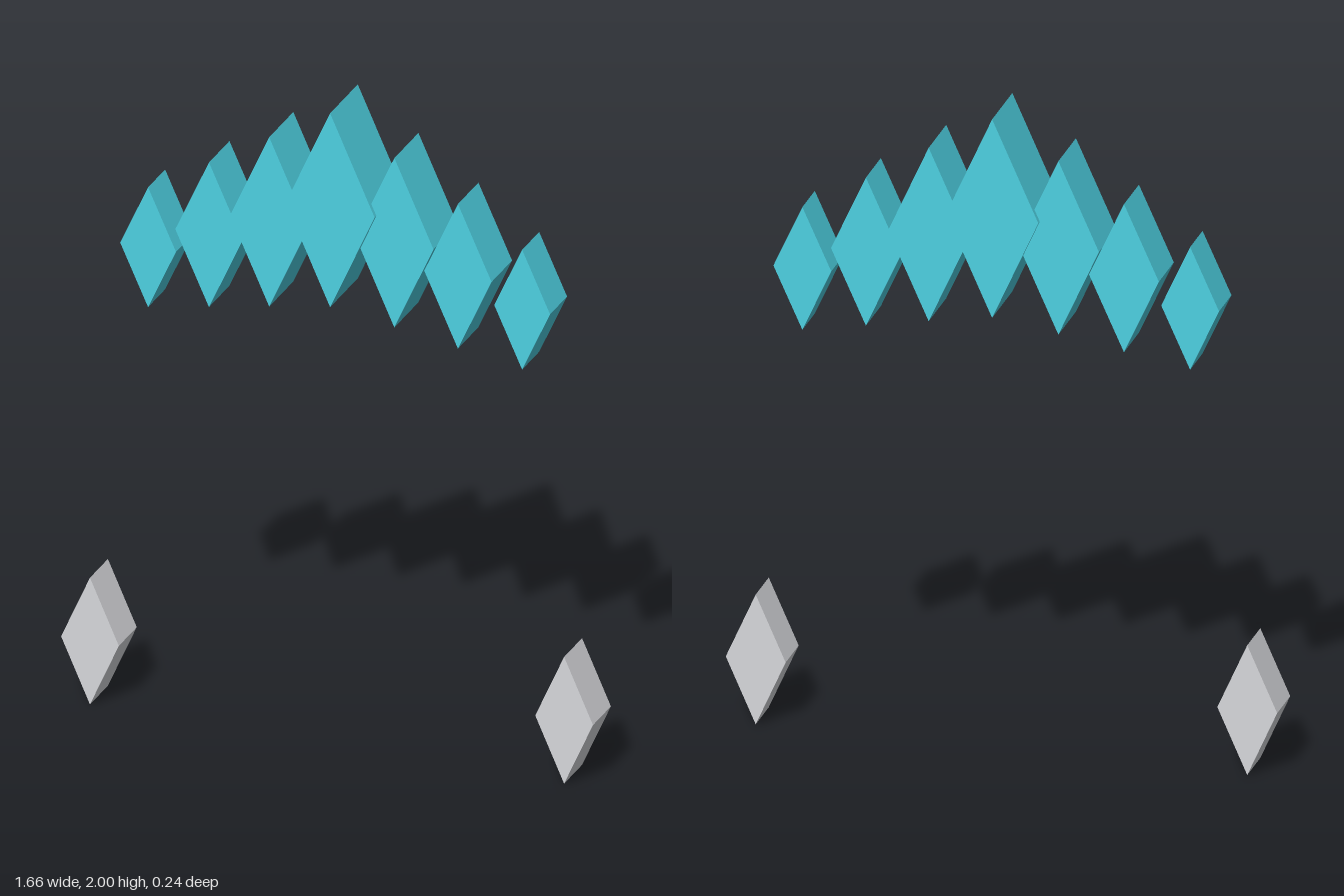
import * as THREE from 'three';

const crystalCyan = new THREE.MeshStandardMaterial({ color: 0x4dd0e1 });
crystalCyan.name = 'crystalCyan';
const paleGray = new THREE.MeshStandardMaterial({ color: 0xd6d7db });
paleGray.name = 'paleGray';

// Upright diamond prism, extruded from zBack to zFront
function diamond(name, material, x, yBottom, yTop, halfWidth, zBack, zFront) {
  const halfHeight = (yTop - yBottom) / 2;
  const shape = new THREE.Shape([
    new THREE.Vector2(halfWidth, 0),
    new THREE.Vector2(0, halfHeight),
    new THREE.Vector2(-halfWidth, 0),
    new THREE.Vector2(0, -halfHeight),
  ]);
  const geometry = new THREE.ExtrudeGeometry(shape, { depth: zFront - zBack, bevelEnabled: false });
  const mesh = new THREE.Mesh(geometry, material);
  mesh.name = name;
  mesh.position.set(x, yBottom + halfHeight, zBack);
  return mesh;
}

export function createModel() {
  const model = new THREE.Group();
  model.name = 'diamondCrest';

  // Crest: tall centre diamond with smaller ones stepping down on each side
  const crest = new THREE.Group();
  crest.name = 'crest';
  crest.add(diamond('centreDiamond', crystalCyan, 0, 1.382, 2, 0.139, -0.12, 0.096));
  const steps = [
    ['innerDiamond', 0.195, 1.345, 1.885, 0.122, -0.105, 0.083],
    ['middleDiamond', 0.388, 1.305, 1.766, 0.105, -0.09, 0.07],
    ['outerDiamond', 0.583, 1.266, 1.648, 0.087, -0.076, 0.057],
  ];

  // Feet: one gray diamond low on each side
  const feet = new THREE.Group();
  feet.name = 'feet';

  for (const [side, sign] of [['left', 1], ['right', -1]]) {
    for (const [name, x, ...size] of steps) {
      crest.add(diamond(`${side}_${name}`, crystalCyan, sign * x, ...size));
    }
    feet.add(diamond(`${side}_footDiamond`, paleGray, sign * 0.739, 0, 0.404, 0.09, -0.02, 0.12));
  }

  model.add(crest, feet);
  return model;
}
